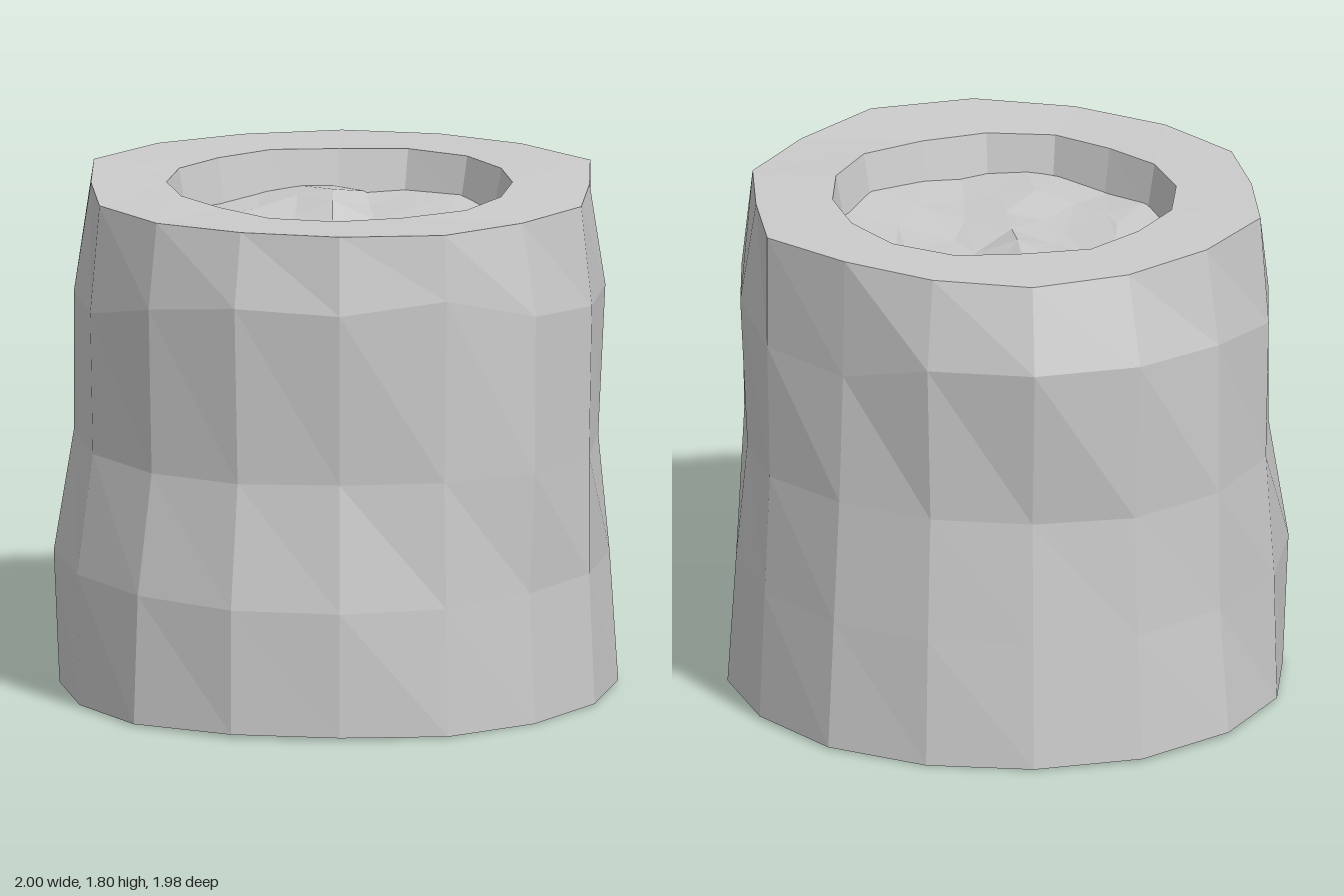
import * as THREE from 'three';

const SIDES = 16;
const CELLS = 6;
const material = new THREE.MeshStandardMaterial({ color: 0xcccccc, flatShading: true, side: THREE.DoubleSide });

// Radii run from +x round through +z, -x and -z.
const BOTTOM = [1, 1, 1, .99, .985, 1, .97, .985, 1, .96, .955, .97, .99, 1, .98, .98];
const LOW = [.97, .98, .97, .97, .96, .985, .975, .985, .98, .97, .975, .96, .95, .965, .945, .96];
const WAIST = [.94, .96, .93, .97, .985, .97, .925, .92, .91, .91, .905, .93, .945, .945, .915, .93];
const SHOULDER = [.92, .97, .955, .98, .99, .99, .97, .95, .925, .92, .905, .94, .945, .985, 1.005, .965];
const TOP = [.91, .97, .9, .94, .925, .97, .935, .89, .885, .885, .845, .91, .89, .895, .92, .905];
const MOUTH = [.65, .635, .63, .637, .65, .615, .62, .61, .565, .575, .58, .585, .58, .61, .59, .64];

// Height of the uneven crease below the rim, in the same order
const CREASE = [1.37, 1.39, 1.43, 1.43, 1.46, 1.56, 1.52, 1.53, 1.48, 1.4, 1.4, 1.41, 1.45, 1.47, 1.48, 1.47];

// Columns lean slightly towards the front left
function columnAngle(i) {
  const a = (i / SIDES) * Math.PI * 2;
  return a + 0.022 * (Math.cos(a) - Math.sin(a));
}

// One closed ring of points; height is a function of (angle, index)
function ring(radii, height, scale = 1) {
  return radii.map((r, i) => {
    const a = columnAngle(i);
    return [r * scale * Math.cos(a), height(a, i), r * scale * Math.sin(a)];
  });
}

function makeMesh(name, points, index) {
  const geometry = new THREE.BufferGeometry();
  geometry.setAttribute('position', new THREE.Float32BufferAttribute(points.flat(), 3));
  geometry.setIndex(index);
  geometry.computeVertexNormals();
  const mesh = new THREE.Mesh(geometry, material);
  mesh.name = name;
  return mesh;
}

// Skin successive rings with triangles
function loft(name, rings) {
  const index = [];
  for (let j = 0; j < rings.length - 1; j++) {
    for (let i = 0; i < SIDES; i++) {
      const a = j * SIDES + i, b = j * SIDES + (i + 1) % SIDES;
      index.push(a, a + SIDES, b + SIDES, a, b + SIDES, b);
    }
  }
  return makeMesh(name, rings.flat(), index);
}

// Mouth radius at any angle, between the listed columns
function mouthRadius(angle) {
  const t = ((angle / (Math.PI * 2) + 1) % 1) * SIDES;
  const i = Math.floor(t) % SIDES;
  return THREE.MathUtils.lerp(MOUTH[i], MOUTH[(i + 1) % SIDES], t - Math.floor(t));
}

// Lumpy contents: diagonal ridges with a steep drop towards the front left
function fillHeight(x, z) {
  const across = x + z, along = x - z;
  const ridge = 0.05 * Math.exp(-(((across + 0.02) / 0.13) ** 2) - (((along - 0.4) / 0.35) ** 2));
  const hollow = 0.04 * Math.exp(-(((across - 0.28) / 0.13) ** 2) - (((along - 0.2) / 0.4) ** 2));
  return 1.645 + ridge - hollow + 0.015 * Math.sin(9 * across) * Math.cos(5 * along);
}

// A square grid rounded off to the outline of the mouth
function contents() {
  const points = [], index = [];
  for (let j = 0; j <= CELLS; j++) {
    for (let i = 0; i <= CELLS; i++) {
      const u = (2 * i) / CELLS - 1, v = (2 * j) / CELLS - 1;
      const angle = Math.atan2(v, u);
      const r = Math.max(Math.abs(u), Math.abs(v)) * mouthRadius(angle) * 0.96;
      const x = r * Math.cos(angle), z = r * Math.sin(angle);
      points.push([x, fillHeight(x, z), z]);
      if (i < CELLS && j < CELLS) {
        const a = j * (CELLS + 1) + i, c = a + CELLS + 1;
        index.push(a, c, a + 1, a + 1, c, c + 1);
      }
    }
  }
  return makeMesh('contents', points, index);
}

export function createModel() {
  const group = new THREE.Group();
  group.name = 'openSack';

  const topRing = ring(TOP, a => 1.79 + 0.008 * Math.sin(3 * a + 1));
  const mouthRing = ring(MOUTH, a => 1.79 + 0.004 * Math.sin(2 * a));

  // Sagging cloth wall, open underneath
  group.add(loft('sackWall', [
    ring(BOTTOM, a => 0.008 + 0.006 * Math.sin(3 * a)),
    ring(LOW, a => 0.465 + 0.01 * Math.sin(2 * a)),
    ring(WAIST, a => 0.9 + 0.008 * Math.cos(3 * a)),
    ring(SHOULDER, (a, i) => CREASE[i]),
    topRing,
  ]));

  // Flat folded rim, the short wall inside the mouth, and the uneven contents
  group.add(loft('rim', [topRing, mouthRing]));
  group.add(loft('mouthWall', [mouthRing, ring(MOUTH, () => 1.62, 0.95)]));
  group.add(contents());

  return group;
}
